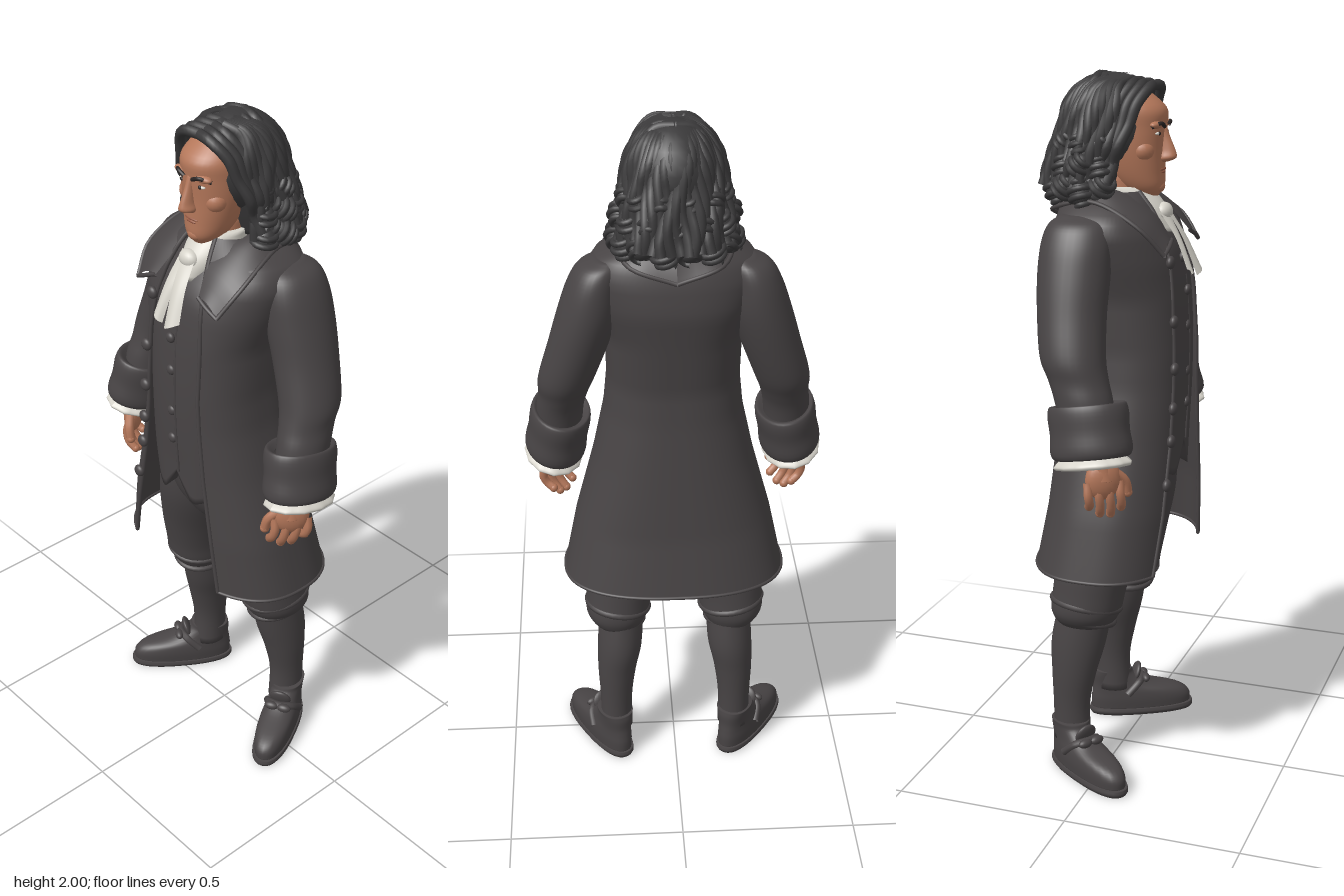
import * as THREE from 'three';

const V = (x, y, z) => new THREE.Vector3(x, y, z);
const mat = (name, hex, side = THREE.FrontSide) => {
  const m = new THREE.MeshStandardMaterial({ color: hex, side });
  m.name = name;
  return m;
};

// Smooth surface through rows of points
function grid(rows, closed) {
  const w = rows[0].length, pos = [], idx = [];
  rows.forEach(r => r.forEach(p => pos.push(p.x, p.y, p.z)));
  for (let i = 0; i < rows.length - 1; i++)
    for (let j = 0; j < (closed ? w : w - 1); j++) {
      const a = i * w + j, b = i * w + (j + 1) % w;
      idx.push(a, b, b + w, a, b + w, a + w);
    }
  const g = new THREE.BufferGeometry();
  g.setAttribute('position', new THREE.Float32BufferAttribute(pos, 3));
  g.setIndex(idx);
  g.computeVertexNormals();
  return g;
}

// Point on a rounded-box outline, angle 0 faces the front
function outline(a, cx, y, cz, rx, rz, n) {
  const f = v => Math.sign(v) * Math.abs(v) ** (2 / n);
  return V(cx + rx * f(Math.sin(a)), y, cz + rz * f(Math.cos(a)));
}

// Closed solid from sections [y, cx, cz, rx, rz], listed from bottom to top
function loft(secs, n = 2, seg = 32, side = 1) {
  const c = new THREE.CatmullRomCurve3(secs.map(s => V(s[1] * side, s[0], s[2])), false, 'catmullrom');
  const r = new THREE.CatmullRomCurve3(secs.map(s => V(s[3], 0, s[4])), false, 'catmullrom');
  const rows = [], m = (secs.length - 1) * 5;
  for (let i = 0; i <= m; i++) {
    const p = c.getPoint(i / m), q = r.getPoint(i / m);
    rows.push(Array.from({ length: seg }, (_, j) => outline(j / seg * Math.PI * 2, p.x, p.y, p.z, q.x, q.z, n)));
  }
  const flat = p => Array(seg).fill(p);
  return grid([flat(c.getPoint(0)), ...rows, flat(c.getPoint(1))], true);
}

// Sheet stretched between two curves, with a bulge and folds
function ribbon(a, b, bulge = 0, folds = 0) {
  const ca = new THREE.CatmullRomCurve3(a), cb = new THREE.CatmullRomCurve3(b), rows = [];
  for (let i = 0; i <= 20; i++) {
    const p = ca.getPoint(i / 20), q = cb.getPoint(i / 20);
    rows.push(Array.from({ length: 13 }, (_, j) => {
      const k = p.clone().lerp(q, j / 12), h = Math.sin(Math.PI * j / 12) * bulge;
      return k.add(V(0, h, folds * Math.sin(j / 12 * Math.PI) * i / 20));
    }));
  }
  return grid(rows, false);
}

// Coat sections: y, half width, front z, back z, right edge x, left edge x
const COAT = [
  [.635, .32, .195, -.22, .215, .17], [.8, .285, .2, -.19, .175, .15], [1, .23, .2, -.17, .13, .12],
  [1.15, .197, .2, -.155, .11, .105], [1.25, .187, .2, -.15, .105, .1], [1.4, .19, .19, -.17, .1, .1],
  [1.5, .22, .17, -.185, .09, .09], [1.58, .237, .14, -.175, .075, .075], [1.63, .215, .11, -.16, .065, .06],
  [1.655, .16, .09, -.15, .06, .05], [1.68, .095, .07, -.13, .05, .04]];
function coatRow(y, seg = 72) {
  let i = 0;
  while (i < COAT.length - 2 && y > COAT[i + 1][0]) i++;
  const k = (y - COAT[i][0]) / (COAT[i + 1][0] - COAT[i][0]);
  const [, rx, zf, zb, er, el] = COAT[i].map((v, j) => THREE.MathUtils.lerp(v, COAT[i + 1][j], k));
  const n = 2.5, ang = e => Math.asin(Math.min(1, (e / rx) ** (n / 2)));
  const a0 = ang(el), a1 = Math.PI * 2 - ang(er);
  return Array.from({ length: seg + 1 }, (_, j) =>
    outline(a0 + (a1 - a0) * j / seg, 0, y, (zf + zb) / 2, rx, (zf - zb) / 2, n));
}

export function createModel() {
  const root = new THREE.Group();
  const cloth = mat('charcoal cloth', 0x484445, THREE.DoubleSide);
  const hairM = mat('dark hair', 0x3a393a);
  const skin = mat('skin', 0xb4775a);
  const lipM = mat('lips', 0x935742);
  const linen = mat('linen', 0xd6d3ca, THREE.DoubleSide);
  const dark = mat('near black', 0x2a2423);

  const add = (name, geo, m, parent = root) => {
    const o = new THREE.Mesh(geo, m);
    o.name = name;
    parent.add(o);
    return o;
  };
  const group = name => {
    const g = new THREE.Group();
    g.name = name;
    root.add(g);
    return g;
  };
  const tube = (name, pts, r, m, parent, seg = 24) =>
    add(name, new THREE.TubeGeometry(new THREE.CatmullRomCurve3(pts), seg, r, 8), m, parent);
  const blob = (name, p, sx, sy, sz, m, parent) => {
    const o = add(name, new THREE.SphereGeometry(1, 20, 14), m, parent);
    o.position.copy(p);
    o.scale.set(sx, sy, sz);
    return o;
  };

  // Coat shell with rolled edges and hem
  const rows = Array.from({ length: 45 }, (_, i) => coatRow(.635 + (1.68 - .635) * i / 44));
  add('coat', grid(rows, false), cloth);
  tube('coatHem', rows[0], .005, cloth, root, 90);
  tube('coatLeftEdge', rows.map(r => r[0]), .006, cloth, root, 60);
  tube('coatRightEdge', rows.map(r => r[72]), .006, cloth, root, 60);
  for (const y of [1.5, 1.34, 1.21, 1.1, 1.01, .89])
    blob('coatButton', coatRow(y)[72].add(V(-.01, 0, .006)), .018, .018, .012, cloth);

  // Waistcoat with a notched lower edge
  const wc = loft([[.89, 0, .04, .15, .14], [1, 0, .04, .165, .143], [1.15, 0, .04, .165, .15], [1.3, 0, .04, .165, .15],
    [1.45, 0, .03, .17, .148], [1.55, 0, .01, .17, .14], [1.64, 0, -.02, .09, .09]], 2.5, 96);
  const wp = wc.attributes.position;
  for (let i = 0; i < wp.count; i++) {
    const x = Math.abs(wp.getX(i)), y = wp.getY(i), k = Math.max(0, (1.05 - y) / .16);
    wp.setY(i, y + k * (Math.max(0, .055 - x) * 1.5 + Math.max(0, x - .07) * .5));
  }
  wc.computeVertexNormals();
  add('waistcoat', wc, cloth);
  tube('waistcoatSeam', [V(.012, .98, .182), V(.012, 1.15, .189), V(.012, 1.3, .189), V(.012, 1.45, .177)], .004, cloth);
  for (const y of [1.5, 1.41, 1.31, 1.18, 1.09])
    blob('waistcoatButton', V(-.004, y, y > 1.45 ? .172 : .188), .015, .015, .01, cloth);

  // Breeches seat
  add('breechesSeat', loft([[.745, 0, -.01, .02, .06], [.79, 0, -.005, .1, .1], [.86, 0, 0, .18, .132], [.96, 0, .01, .185, .145],
    [1.05, 0, .01, .16, .13]]), cloth);

  for (const s of [1, -1]) {
    // Leg, gathered knee and stocking
    const leg = group(s > 0 ? 'leftLeg' : 'rightLeg');
    add('breechesLeg', loft([[.455, .167, -.058, .066, .078], [.475, .17, -.056, .082, .092], [.505, .17, -.053, .094, .102],
      [.56, .165, -.045, .097, .105], [.65, .15, -.03, .105, .112], [.8, .113, -.005, .11, .125], [.95, .09, 0, .1, .13]], 2.1, 32, s), cloth, leg);
    for (const [y, r] of [[.468, .073], [.515, .09]]) {
      const t = add('kneeFold', new THREE.TorusGeometry(r, .01, 8, 32), cloth, leg);
      t.position.set(s * .169, y, -.054);
      t.rotation.set(Math.PI / 2 + .12, s * .15, 0);
      t.scale.y = 1.08;
    }
    add('stocking', loft([[.09, .18, -.095, .048, .055], [.2, .18, -.097, .048, .054], [.3, .176, -.09, .057, .066],
      [.39, .166, -.08, .066, .08], [.5, .16, -.06, .065, .08]], 2, 28, s), cloth, leg);

    // Shoe, turned outward
    const shoe = group(s > 0 ? 'leftShoe' : 'rightShoe');
    shoe.position.set(s * .19, 0, -.092);
    shoe.rotation.y = s * (s > 0 ? .5 : .6);
    add('sole', loft([[0, 0, .083, .052, .16], [.01, 0, .083, .058, .165], [.022, 0, .083, .056, .163]], 2.4), cloth, shoe);
    add('shoeUpper', loft([[.018, 0, .082, .052, .157], [.05, 0, .08, .054, .156], [.075, 0, .065, .052, .138],
      [.1, 0, .02, .047, .09], [.13, 0, -.006, .047, .065], [.15, 0, -.01, .05, .058]], 2.3), cloth, shoe);
    tube('shoeStrap', [V(-.052, .07, .03), V(-.035, .105, .07), V(0, .112, .085), V(.035, .105, .07), V(.052, .07, .03)], .012, cloth, shoe);
    const tongue = blob('shoeTongue', V(0, .125, .065), .034, .034, .012, cloth, shoe);
    tongue.rotation.x = .35;
    for (const k of [-1, 1]) blob('shoeBow', V(k * .02, .112, .093), .022, .013, .013, cloth, shoe);

    // Sleeve, turned-back cuff and lace frill
    const arm = group(s > 0 ? 'leftArm' : 'rightArm');
    add('sleeve', loft([[1.03, .325, .02, .062, .075], [1.15, .32, 0, .066, .08], [1.21, .31, -.02, .068, .083], [1.27, .298, -.04, .078, .09],
      [1.38, .262, -.055, .083, .095], [1.48, .232, -.06, .084, .1], [1.56, .215, -.06, .073, .096],
      [1.608, .198, -.06, .06, .08], [1.63, .175, -.06, .035, .05]], 2, 32, s), cloth, arm);
    const cuff = new THREE.Group();
    cuff.name = 'cuff';
    cuff.position.set(s * .328, 1.075, .018);
    cuff.rotation.set(-.16, 0, s * .17);
    arm.add(cuff);
    const ring = (name, prof, m) => {
      const o = add(name, new THREE.LatheGeometry(new THREE.CatmullRomCurve3(prof.map(p => V(p[0], p[1], 0)))
        .getPoints(24).map(p => new THREE.Vector2(p.x, p.y)), 36), m, cuff);
      o.scale.z = 1.3;
      return o;
    };
    ring('cuffFold', [[.055, -.055], [.078, -.07], [.087, -.055], [.085, 0], [.086, .055], [.08, .074], [.06, .06]], cloth);
    const frill = ring('laceFrill', [[.045, -.04], [.068, -.068], [.083, -.088], [.076, -.096], [.045, -.075]], linen);
    const fp = frill.geometry.attributes.position;
    for (let i = 0; i < fp.count; i++) {
      const a = Math.atan2(fp.getX(i), fp.getZ(i)), k = 1 + .025 * Math.cos(a * 12);
      fp.setXYZ(i, fp.getX(i) * k, fp.getY(i), fp.getZ(i) * k);
    }
    frill.geometry.computeVertexNormals();

    // Hand with relaxed fingers
    const hand = group(s > 0 ? 'leftHand' : 'rightHand');
    add('wrist', loft([[.95, .342, .055, .03, .036], [1.05, .332, .03, .034, .04]], 2, 20, s), skin, hand);
    const palm = blob('palm', V(s * .342, .95, .06), .027, .056, .05, skin, hand);
    palm.rotation.y = -s * .64;
    const digit = (name, pts, r) => {
      tube(name, pts, r, skin, hand, 12);
      blob(name + 'Tip', pts[pts.length - 1], r, r, r, skin, hand);
    };
    [.862, .846, .85, .872].forEach((tip, i) => {
      const x = .316 + .018 * i, z = .098 - .024 * i;
      digit('finger', [V(s * x, .945, z), V(s * (x + .006), .908, z + .004), V(s * (x - .004), (tip + .91) / 2 - .005, z + .004),
        V(s * (x - .022), tip, z - .004)], .0125);
    });
    digit('thumb', [V(s * .325, .97, .085), V(s * .302, .94, .108), V(s * .292, .905, .112)], .0135);

    // Broad pointed coat collar
    const outer = [V(0, 1.6, -.19), V(s * .12, 1.635, -.16), V(s * .165, 1.662, -.03), V(s * .183, 1.6, .105), V(s * .158, 1.527, .168)];
    add('collar', ribbon([V(0, 1.69, -.13), V(s * .085, 1.695, -.07), V(s * .095, 1.685, .02), V(s * .065, 1.63, .108), V(s * .085, 1.56, .165)],
      outer, .012), cloth);
    tube('collarEdge', outer, .006, cloth);
    tube('collarTip', [outer[4], V(s * .12, 1.545, .17), V(s * .085, 1.56, .166)], .006, cloth);
  }

  // Cravat: neck cloth, knot and two tails
  add('neckCloth', loft([[1.57, 0, .065, .04, .085], [1.63, 0, .035, .068, .09], [1.69, 0, .005, .066, .07]]), linen);
  blob('cravatKnot', V(-.004, 1.622, .118), .032, .026, .024, linen);
  add('leftCravatTail', ribbon([V(-.018, 1.635, .125), V(-.01, 1.56, .17), V(0, 1.45, .213)],
    [V(.024, 1.635, .12), V(.034, 1.56, .165), V(.048, 1.475, .2)], 0, .014), linen);
  add('rightCravatTail', ribbon([V(-.04, 1.635, .11), V(-.044, 1.56, .163), V(-.052, 1.475, .2)],
    [V(0, 1.635, .12), V(-.008, 1.56, .165), V(-.018, 1.455, .203)], 0, .012), linen);

  // Head and face
  const head = group('head');
  add('neck', loft([[1.6, 0, -.01, .055, .055], [1.74, 0, 0, .055, .06]]), skin, head);
  add('face', loft([[1.665, 0, .068, .028, .032], [1.69, 0, .055, .052, .06], [1.73, 0, .04, .069, .076], [1.79, 0, .03, .082, .086],
    [1.85, 0, .02, .086, .1], [1.9, 0, .01, .085, .108], [1.95, 0, -.02, .06, .08]], 2.15, 40), skin, head);
  add('nose', loft([[1.757, 0, .112, .012, .014], [1.768, 0, .122, .021, .028], [1.788, 0, .122, .015, .026],
    [1.825, 0, .115, .011, .017], [1.86, 0, .108, .012, .012]], 2, 16), skin, head);
  blob('upperLip', V(0, 1.737, .112), .025, .004, .006, lipM, head);
  blob('lowerLip', V(0, 1.729, .111), .02, .005, .007, lipM, head);
  blob('chin', V(0, 1.69, .1), .025, .018, .018, skin, head);
  for (const s of [1, -1]) {
    blob('cheek', V(s * .045, 1.79, .07), .034, .032, .033, skin, head);
    blob('browRidge', V(s * .036, 1.858, .104), .032, .011, .016, skin, head);
    blob('eye', V(s * .036, 1.835, .108), .013, .0045, .007, linen, head);
    blob('pupil', V(s * .035, 1.835, .113), .006, .005, .004, dark, head);
    tube('eyebrow', [V(s * .014, 1.852, .121), V(s * .04, 1.862, .12), V(s * .064, 1.852, .098)], .0055, dark, head);
  }

  // Hair: cap, waving locks and heavy hanging curls
  const hair = group('hair');
  blob('hairCap', V(0, 1.855, -.042), .122, .138, .14, hairM, hair);
  add('hairBack', loft([[1.67, 0, -.09, .12, .08], [1.75, 0, -.08, .135, .1], [1.85, 0, -.06, .124, .112], [1.93, 0, -.05, .09, .09]]), hairM, hair);
  const fall = new THREE.CatmullRomCurve3([V(.03, 1.975, .01), V(.08, 1.958, -.03), V(.113, 1.91, -.042),
    V(.128, 1.845, -.048), V(.14, 1.77, -.062), V(.15, 1.69, -.075)]);
  for (let i = 0; i <= 34; i++) {
    const pts = Array.from({ length: 13 }, (_, k) => {
      const t = k / 12, p = fall.getPoint(t), sway = Math.sin(t * 11 + i * .9);
      const a = (60 + i * 240 / 34) * Math.PI / 180 + .07 * t * sway, r = p.x + .009 * t * Math.cos(t * 13 + i * 1.7);
      return V(r * Math.sin(a), p.y, p.z + r * .97 * Math.cos(a));
    });
    tube('lock', pts, .0145, hairM, hair, 36);
  }
  for (const s of [1, -1])
    for (let i = 0; i < 7; i++) {
      const z = .08 - i * .025;
      tube('frontLock', [V(s * -.006, 1.958 + i * .004, z), V(s * .05, 1.955 + i * .003, z + .008), V(s * .092, 1.915, z - .012),
        V(s * .11, 1.86, .052 - i * .02), V(s * (.134 - i % 2 * .01), 1.805, .03 - i * .015), V(s * .124, 1.76, .012 - i * .015),
        V(s * .145, 1.71, -i * .015)], .0145, hairM, hair, 32);
    }
  const curl = (c, r, h, tilt) => {
    const pts = Array.from({ length: 30 }, (_, k) => {
      const t = k / 29, q = r * (.5 + .5 * Math.sin(Math.PI * t)), b = t * Math.PI * 7;
      return V(q * Math.cos(b), h * (.5 - t), q * Math.sin(b));
    });
    const g = new THREE.Group();
    g.name = 'curl';
    g.position.copy(c);
    g.rotation.set(tilt, tilt * 2, tilt * .8);
    hair.add(g);
    tube('curlStrand', pts, .0085, hairM, g, 64);
    blob('curlCore', V(0, 0, 0), r, h * .5, r, hairM, g);
  };
  for (const [count, y, rx, rz, r, h] of [[10, 1.682, .147, .118, .033, .075], [9, 1.742, .142, .11, .029, .07], [8, 1.8, .128, .1, .023, .07]])
    for (let i = 0; i < count; i++) {
      const a = (66 + i * 228 / (count - 1)) * Math.PI / 180;
      curl(V(rx * Math.sin(a), y + (i % 2) * .014, -.067 + rz * Math.cos(a)), r, h, i % 2 ? .5 : -.4);
    }
  return root;
}
